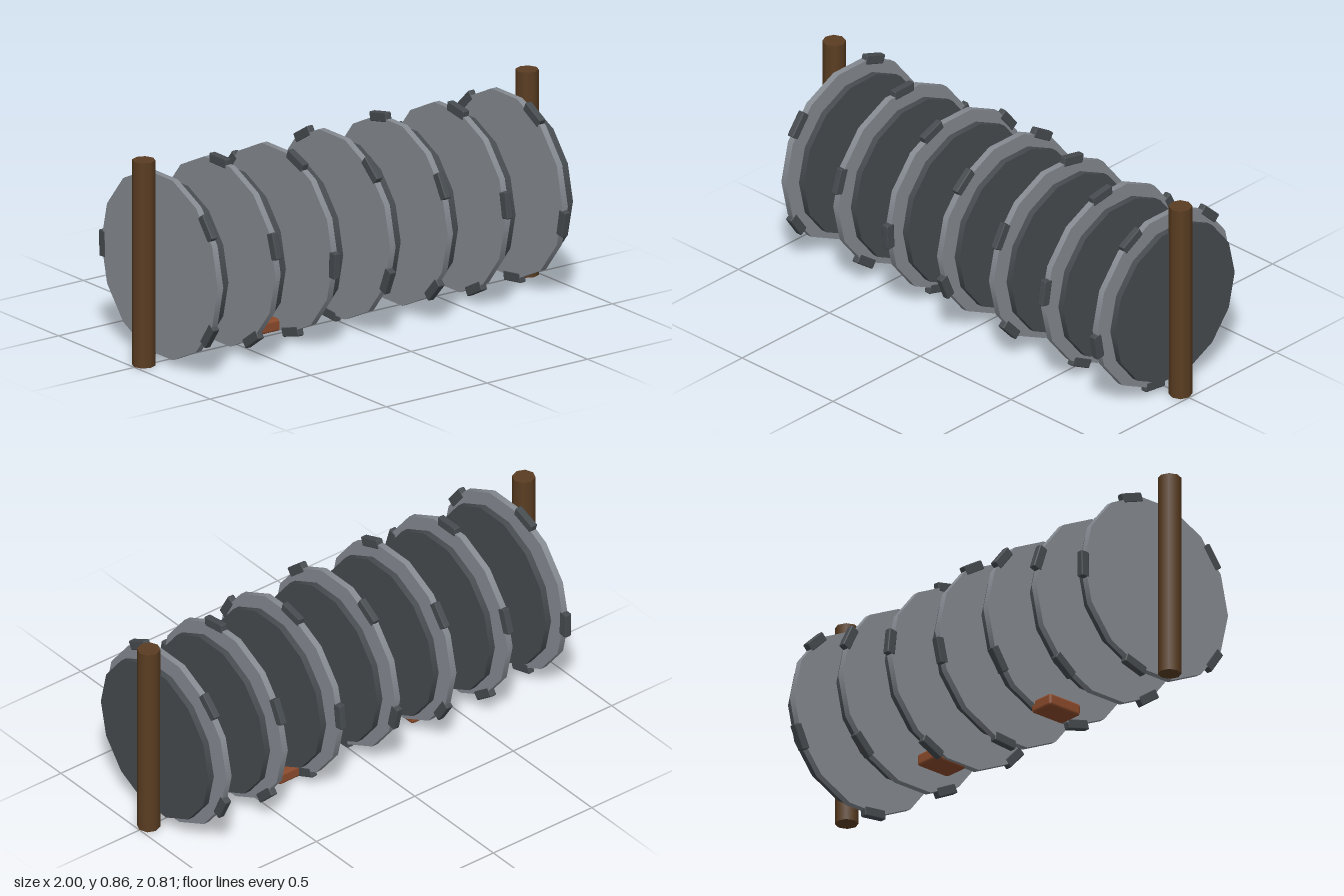
import * as THREE from 'three';
import { RoundedBoxGeometry } from 'three/addons/geometries/RoundedBoxGeometry.js';

function material(name, color) {
  const m = new THREE.MeshStandardMaterial({ color });
  m.name = name;
  return m;
}

export function createModel() {
  const group = new THREE.Group();
  const steel = material('light steel', 0x858a91);
  const iron = material('dark iron', 0x464b4f);
  const wood = material('dark wood', 0x5a3d22);
  const rust = material('rust', 0x8b4a2b);

  const AXIS_Y = 0.402;
  const SPACING = 0.2855;
  const COUNT = 7;
  const LUGS = 5;

  function add(parent, name, geometry, mat, x, y, z) {
    const mesh = new THREE.Mesh(geometry, mat);
    mesh.name = name;
    mesh.position.set(x, y, z);
    parent.add(mesh);
    return mesh;
  }

  // Shared shapes; the wheels are 14-sided and turn about x
  const rimGeo = new THREE.CylinderGeometry(0.385, 0.385, 0.027, 14).rotateZ(Math.PI / 2);
  const discGeo = new THREE.CylinderGeometry(0.343, 0.343, 0.027, 14).rotateZ(Math.PI / 2);
  const lugGeo = new RoundedBoxGeometry(0.03, 0.04, 0.11, 1, 0.005);
  const postGeo = new THREE.CylinderGeometry(0.047, 0.047, 0.858, 8);
  const blockGeo = new RoundedBoxGeometry(0.115, 0.052, 0.165, 1, 0.012);

  // Row of wheels, each turned a little further than the last
  for (let i = 0; i < COUNT; i++) {
    const wheel = new THREE.Group();
    wheel.name = 'wheel';
    wheel.position.set(-0.861 + i * SPACING, AXIS_Y, 0);
    add(wheel, 'rim', rimGeo, steel, 0, 0, 0);
    add(wheel, 'innerDisc', discGeo, iron, 0.057, 0, 0);
    for (let k = 0; k < LUGS; k++) {
      const a = THREE.MathUtils.degToRad(37.5 - 20 * i + (360 / LUGS) * k);
      const lug = add(wheel, 'lug', lugGeo, iron, 0, 0.38 * Math.sin(a), 0.38 * Math.cos(a));
      lug.rotation.x = Math.PI / 2 - a;
    }
    group.add(wheel);
  }

  // End posts and low blocks, mirrored
  for (const side of [-1, 1]) {
    add(group, 'endPost', postGeo, wood, side * 0.953, 0.429, 0);
    add(group, 'footBlock', blockGeo, rust, side * 0.337, 0.045, -0.05);
  }
  return group;
}
